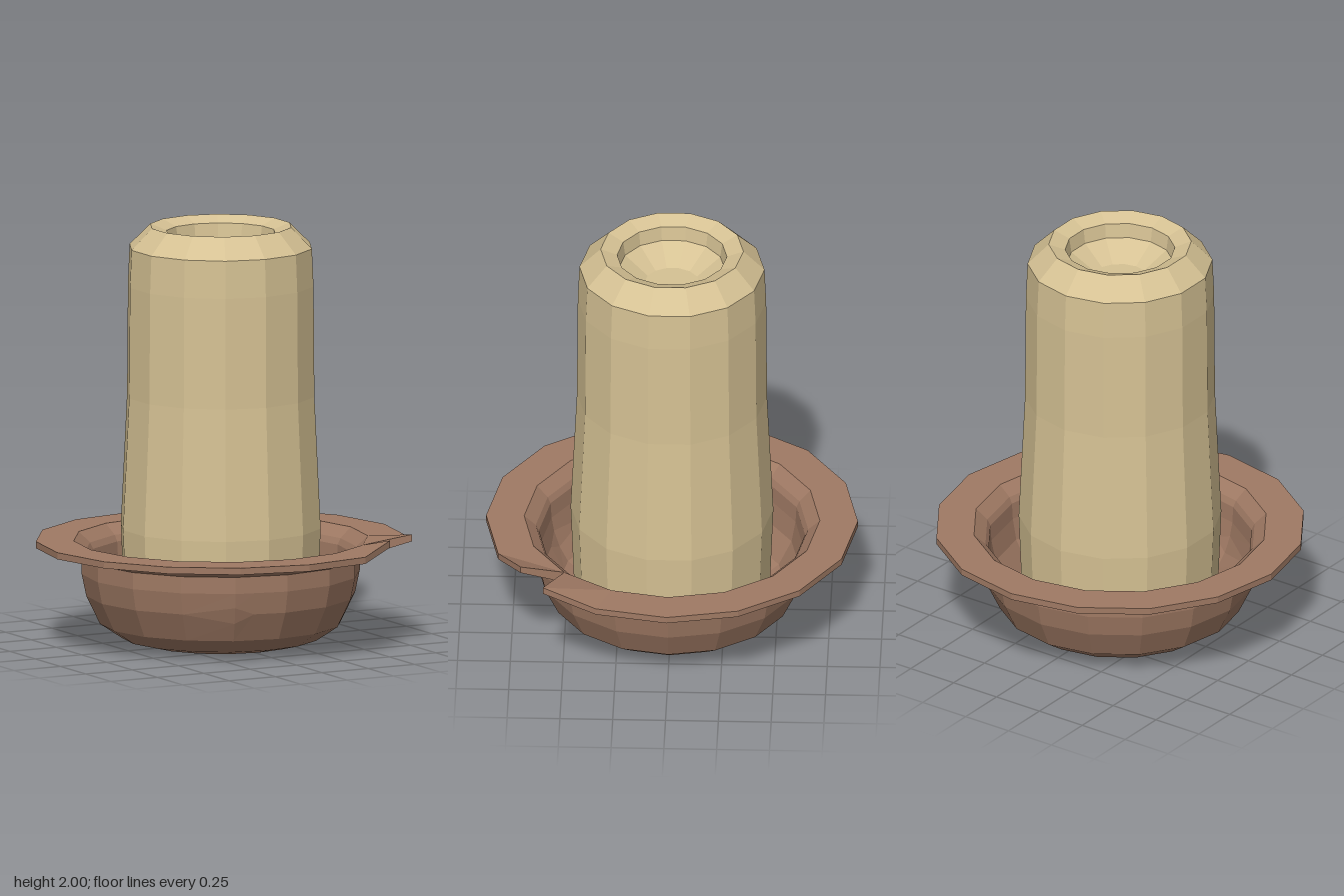
import * as THREE from 'three';

const DEG = Math.PI / 180, STEP = 22.5;

// Collects flat quads into one geometry, skipping collapsed triangles
function quadSoup() {
  const pos = [];
  const tri = (a, b, c) => {
    const area = b.clone().sub(a).cross(c.clone().sub(a)).length();
    if (area > 1e-6) for (const p of [a, b, c]) pos.push(p.x, p.y, p.z);
  };
  return {
    quad(a, b, c, d) { tri(a, b, c); tri(a, c, d); },
    geometry() {
      const g = new THREE.BufferGeometry();
      g.setAttribute('position', new THREE.Float32BufferAttribute(pos, 3));
      g.computeVertexNormals();
      return g;
    },
  };
}

// Clay bowl: a turned profile with a broken rim and a cracked hole in the wall
function bowlGeometry() {
  // radius, height: underside centre, out and up, over the rim, down inside
  const profile = [
    [0, 0], [0.37, 0.005], [0.47, 0.03], [0.575, 0.1],
    [0.64, 0.235], [0.64, 0.235],                       // outer crack, doubled row
    [0.662, 0.34], [0.662, 0.42], [0.70, 0.445],
    [0.88, 0.468], [0.88, 0.5], [0.70, 0.5],            // rim
    [0.645, 0.45], [0.63, 0.42], [0.625, 0.34],
    [0.605, 0.235], [0.605, 0.235],                     // inner crack, doubled row
    [0.54, 0.12], [0.44, 0.06], [0.35, 0.04], [0, 0.04],
  ];
  // columns start and end at the notch, with one extra column for the crack's end
  const angles = [];
  for (let i = 0; i <= 16; i++) {
    angles.push(45 + i * STEP);
    if (i === 13) angles.push(346);
  }
  const last = angles.length - 1;
  const grid = profile.map(([r, y]) => angles.map((a) => {
    const off = (a % STEP) - STEP / 2;
    const chord = r * Math.cos(STEP / 2 * DEG) / Math.cos(off * DEG);
    return new THREE.Vector3(chord * Math.sin(a * DEG), y, chord * Math.cos(a * DEG));
  }));

  // spread and lift the two broken rim tips
  for (const [row, y] of [[9, 0.515], [10, 0.548]]) {
    grid[row][0].set(0.71, y, 0.59);
    grid[row][last].set(0.53, y, 0.70);
  }
  // open the crack into a diamond
  for (const [row, y, r] of [[4, 0.19, 0.62], [5, 0.27, 0.648], [15, 0.27, 0.612], [16, 0.19, 0.583]]) {
    grid[row][13].set(r * Math.sin(-STEP * DEG), y, r * Math.cos(STEP * DEG));
  }

  const soup = quadSoup();
  for (let r = 0; r < grid.length - 1; r++)
    for (let c = 0; c < last; c++)
      soup.quad(grid[r][c], grid[r][c + 1], grid[r + 1][c + 1], grid[r + 1][c]);

  // cut faces of the notch
  for (const c of [0, last]) soup.quad(grid[8][c], grid[9][c], grid[10][c], grid[11][c]);
  // thickness of the wall around the hole
  for (const c of [12, 13]) {
    soup.quad(grid[4][c], grid[4][c + 1], grid[16][c + 1], grid[16][c]);
    soup.quad(grid[5][c], grid[5][c + 1], grid[15][c + 1], grid[15][c]);
  }
  return soup.geometry();
}

// Candle: tapered body, bevelled top and hollowed well
function candleGeometry() {
  const profile = [
    [0, 0.045], [0.46, 0.045], [0.48, 0.56], [0.45, 1.19], [0.446, 1.72],
    [0.438, 1.9], [0.338, 2], [0.26, 1.97], [0.25, 1.9], [0.13, 1.82], [0, 1.82],
  ];
  return new THREE.LatheGeometry(profile.map(([r, y]) => new THREE.Vector2(r, y)), 14);
}

export function createModel() {
  const group = new THREE.Group();
  const add = (name, geometry, color) => {
    const mesh = new THREE.Mesh(geometry, new THREE.MeshStandardMaterial({
      color, flatShading: true, side: THREE.DoubleSide,
    }));
    mesh.name = name;
    group.add(mesh);
  };
  add('brokenBowl', bowlGeometry(), 0xa07a64);
  add('candle', candleGeometry(), 0xd6c294);
  return group;
}
